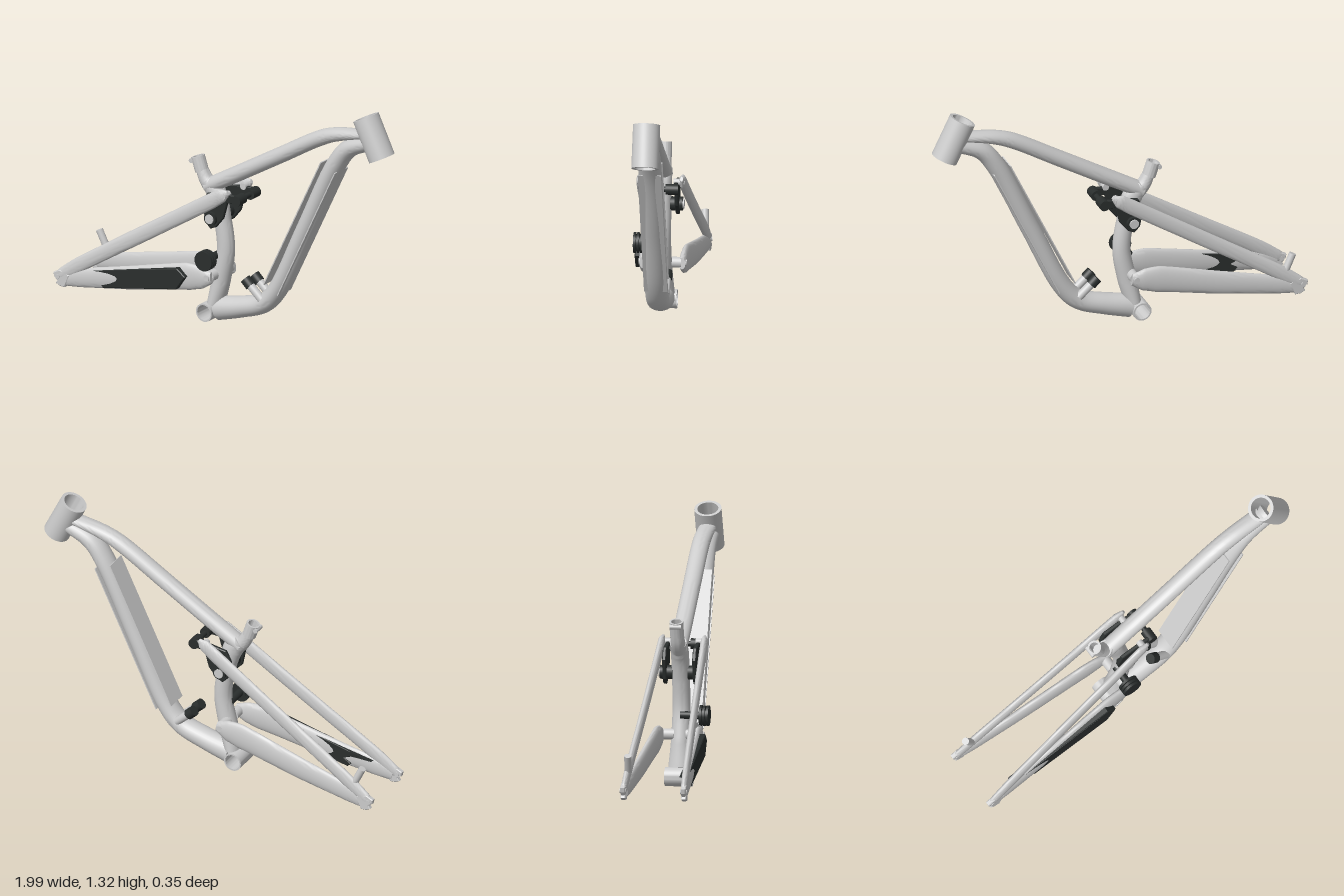
import * as THREE from 'three';
import { toCreasedNormals } from 'three/addons/utils/BufferGeometryUtils.js';

const grey = new THREE.MeshStandardMaterial({ color: 0xcccccc, side: THREE.DoubleSide });
const dark = new THREE.MeshStandardMaterial({ color: 0x2a2e2d, side: THREE.DoubleSide });
const UP = new THREE.Vector3(0, 1, 0);
const v = (p) => new THREE.Vector3(...p);

export function createModel() {
  const frame = new THREE.Group();
  frame.name = 'bicycleFrame';

  function add(name, geometry, material = grey) {
    const mesh = new THREE.Mesh(geometry, material);
    mesh.name = name;
    frame.add(mesh);
    return mesh;
  }

  // Oval tube along a smooth path; each point is [x, y, z, height radius, width radius]
  function sweep(name, pts, material = grey, steps = 8, sides = 28) {
    const curve = new THREE.CatmullRomCurve3(pts.map((p) => new THREE.Vector3(p[0], p[1], p[2])));
    const n = (pts.length - 1) * steps;
    const pos = [], idx = [];
    for (let i = 0; i <= n; i++) {
      const t = i / n, c = curve.getPoint(t), T = curve.getTangent(t);
      const U = new THREE.Vector3(0, 0, 1).cross(T).normalize();
      const V = T.clone().cross(U);
      const k = Math.min(Math.floor(i / steps), pts.length - 2), f = i / steps - k;
      const a = THREE.MathUtils.lerp(pts[k][3], pts[k + 1][3], f);
      const b = THREE.MathUtils.lerp(pts[k][4], pts[k + 1][4], f);
      for (let j = 0; j < sides; j++) {
        const w = (j / sides) * Math.PI * 2;
        const p = c.clone().addScaledVector(U, a * Math.cos(w)).addScaledVector(V, b * Math.sin(w));
        pos.push(p.x, p.y, p.z);
      }
    }
    for (let i = 0; i < n; i++) for (let j = 0; j < sides; j++) {
      const a = i * sides + j, b = i * sides + ((j + 1) % sides);
      idx.push(a, b, b + sides, a, b + sides, a + sides);
    }
    for (let j = 1; j < sides - 1; j++) {
      idx.push(0, j + 1, j, n * sides, n * sides + j, n * sides + j + 1);
    }
    const g = new THREE.BufferGeometry();
    g.setAttribute('position', new THREE.Float32BufferAttribute(pos, 3));
    g.setIndex(idx);
    return add(name, toCreasedNormals(g, 0.7), material);
  }

  function between(mesh, p, q) {
    const a = v(p), b = v(q);
    mesh.position.copy(a).add(b).multiplyScalar(0.5);
    mesh.quaternion.setFromUnitVectors(UP, b.sub(a).normalize());
    return mesh;
  }

  // Solid round bar between two points
  function rod(name, p, q, r, material = grey, r2 = r) {
    const g = new THREE.CylinderGeometry(r2, r, v(p).distanceTo(v(q)), 24);
    return between(add(name, g, material), p, q);
  }

  // Hollow pipe between two points
  function pipe(name, p, q, ro, ri) {
    const h = v(p).distanceTo(v(q)) / 2;
    const profile = [[ri, -h], [ro, -h], [ro, h], [ri, h], [ri, -h]].map((a) => new THREE.Vector2(...a));
    return between(add(name, toCreasedNormals(new THREE.LatheGeometry(profile, 40), 0.7)), p, q);
  }

  // Flat plate cut from an xy outline
  function plate(name, outline, z, depth, material, bevel = 0.004) {
    const shape = new THREE.Shape(outline.map((p) => new THREE.Vector2(...p)));
    const g = new THREE.ExtrudeGeometry(shape, {
      depth: depth - 2 * bevel, bevelThickness: bevel, bevelSize: bevel, bevelOffset: -bevel, bevelSegments: 1,
    });
    g.translate(0, 0, z - depth / 2 + bevel);
    return add(name, g, material);
  }

  // Head tube and bottom bracket shell
  pipe('headTube', [0.93, 1.096, 0], [0.83, 1.3, 0], 0.07, 0.054);
  pipe('bottomBracketShell', [-0.13, 0.057, -0.07], [-0.13, 0.057, 0.07], 0.049, 0.041);

  // Main tubes
  sweep('topTube', [
    [-0.15, 0.725, 0, 0.04, 0.045], [0, 0.81, 0, 0.042, 0.046], [0.3, 0.985, 0, 0.042, 0.046],
    [0.56, 1.135, 0, 0.041, 0.046], [0.66, 1.172, 0, 0.036, 0.046], [0.83, 1.205, 0, 0.025, 0.045],
  ]);
  sweep('downTube', [
    [-0.085, 0.074, 0, 0.064, 0.06], [0.06, 0.11, 0, 0.056, 0.06], [0.2, 0.16, 0, 0.051, 0.06],
    [0.283, 0.25, 0, 0.05, 0.06], [0.46, 0.615, 0, 0.05, 0.06], [0.65, 1.01, 0, 0.05, 0.06],
    [0.73, 1.11, 0, 0.048, 0.058], [0.87, 1.17, 0, 0.04, 0.054],
  ]);
  sweep('seatTube', [
    [-0.1, 0.1, 0, 0.042, 0.06], [-0.07, 0.23, 0, 0.05, 0.05], [-0.04, 0.4, 0, 0.047, 0.046],
    [-0.06, 0.56, 0, 0.045, 0.046], [-0.1, 0.7, 0, 0.055, 0.046], [-0.15, 0.755, 0, 0.045, 0.043],
  ]);
  sweep('seatMast', [
    [-0.1, 0.7, 0, 0.05, 0.042], [-0.16, 0.755, 0, 0.038, 0.038], [-0.19, 0.81, 0, 0.031, 0.034],
  ]);
  pipe('seatCollar', [-0.19, 0.8, 0], [-0.215, 0.875, 0], 0.036, 0.026);
  rod('collarBolt', [-0.24, 0.85, -0.03], [-0.24, 0.85, 0.03], 0.012);

  // Flat faces on the inner and outer side of the down tube
  const along = new THREE.Vector2(0.4, 0.83).normalize();
  for (const s of [-1, 1]) {
    const face = add(s < 0 ? 'downTubeInnerFace' : 'downTubeOuterFace', new THREE.BoxGeometry(0.006, 0.82, 0.12));
    face.position.set(0.455 + s * along.y * 0.048, 0.63 - s * along.x * 0.048, 0);
    face.rotation.z = -Math.atan2(along.x, along.y);
  }

  // Rear triangle, rocker and pivots, mirrored on both sides
  for (const s of [-1, 1]) {
    const side = s > 0 ? 'front' : 'back';
    sweep(side + 'SeatStay', [
      [0.045, 0.758, s * 0.108, 0.012, 0.008], [0.01, 0.736, s * 0.11, 0.036, 0.018],
      [-0.06, 0.69, s * 0.113, 0.04, 0.019], [-0.45, 0.445, s * 0.13, 0.04, 0.018],
      [-0.85, 0.195, s * 0.15, 0.039, 0.018], [-0.95, 0.125, s * 0.155, 0.034, 0.016],
      [-0.985, 0.1, s * 0.157, 0.02, 0.012],
    ]);
    sweep(side + 'ChainStay', [
      [-0.06, 0.27, s * 0.1, 0.03, 0.018], [-0.12, 0.262, s * 0.104, 0.06, 0.022],
      [-0.2, 0.253, s * 0.108, 0.073, 0.024], [-0.55, 0.18, s * 0.13, 0.063, 0.023],
      [-0.85, 0.123, s * 0.148, 0.05, 0.019], [-0.945, 0.1, s * 0.154, 0.036, 0.015],
    ]);
    // Notched dropout tip
    plate(side + 'Dropout', [
      [-0.93, 0.06], [-0.9, 0.13], [-0.96, 0.15], [-1, 0.13], [-0.995, 0.105],
      [-0.975, 0.105], [-0.975, 0.09], [-0.985, 0.075], [-0.96, 0.062],
    ], s * 0.157, 0.026);
    rod(side + 'DropoutBolt', [-0.972, 0.112, s * 0.14], [-0.972, 0.112, s * 0.174], 0.012);

    // Rocker link
    plate(side + 'Rocker', [
      [-0.13, 0.66], [-0.1, 0.72], [0.0, 0.735], [0.085, 0.74], [0.105, 0.715], [0.085, 0.692],
      [0.025, 0.69], [0, 0.6], [-0.045, 0.545], [-0.08, 0.53], [-0.11, 0.56],
    ], s * 0.078, 0.02, dark);
    rod(side + 'RockerPivot', [-0.07, 0.59, s * 0.04], [-0.07, 0.59, s * 0.105], 0.036, dark);
    rod(side + 'RockerBolt', [-0.07, 0.59, s * 0.1], [-0.07, 0.59, s * 0.112], 0.025);
    rod(side + 'SeatStayPivot', [0.02, 0.735, s * 0.065], [0.02, 0.735, s * 0.122], 0.018);
    rod(side + 'ShockBolt', [0.085, 0.715, s * 0.03], [0.085, 0.715, s * 0.095], 0.028, dark);

    // Main pivot boss
    rod(side + 'MainPivot', [-0.08, 0.27, s * 0.03], [-0.08, 0.27, s * 0.095], 0.028);
    rod(side + 'MainPivotBolt', [-0.08, 0.27, s * 0.09], [-0.08, 0.27, s * 0.124], 0.016);

    // Lower shock mount
    rod(side + 'ShockMount', [0.21, 0.19, s * 0.04], [0.13, 0.262, s * 0.04], 0.022);
    rod(side + 'ShockMountCap', [0.142, 0.25, s * 0.04], [0.108, 0.282, s * 0.04], 0.028, dark);
  }
  rod('shockAxle', [0.085, 0.715, -0.05], [0.085, 0.715, 0.05], 0.014, dark);

  // Chain roller with grooved discs on the +z side
  rod('rollerAxle', [-0.08, 0.37, 0], [-0.08, 0.37, 0.145], 0.02, dark);
  for (const z of [0.108, 0.126, 0.144]) {
    rod('rollerDisc', [-0.08, 0.37, z - 0.006], [-0.08, 0.37, z + 0.006], 0.053, dark);
  }
  rod('rollerHub', [-0.08, 0.37, 0.1], [-0.08, 0.37, 0.148], 0.036, dark);

  // Chain guard on the +z chain stay
  plate('chainGuard', [
    [-0.84, 0.165], [-0.24, 0.3], [-0.19, 0.262], [-0.245, 0.185], [-0.7, 0.1], [-0.72, 0.12],
    [-0.68, 0.145], [-0.72, 0.162],
  ], 0.134, 0.044, dark);

  // Brake peg on the -z seat stay
  rod('brakePeg', [-0.885, 0.2, -0.145], [-0.925, 0.285, -0.14], 0.019);

  return frame;
}
